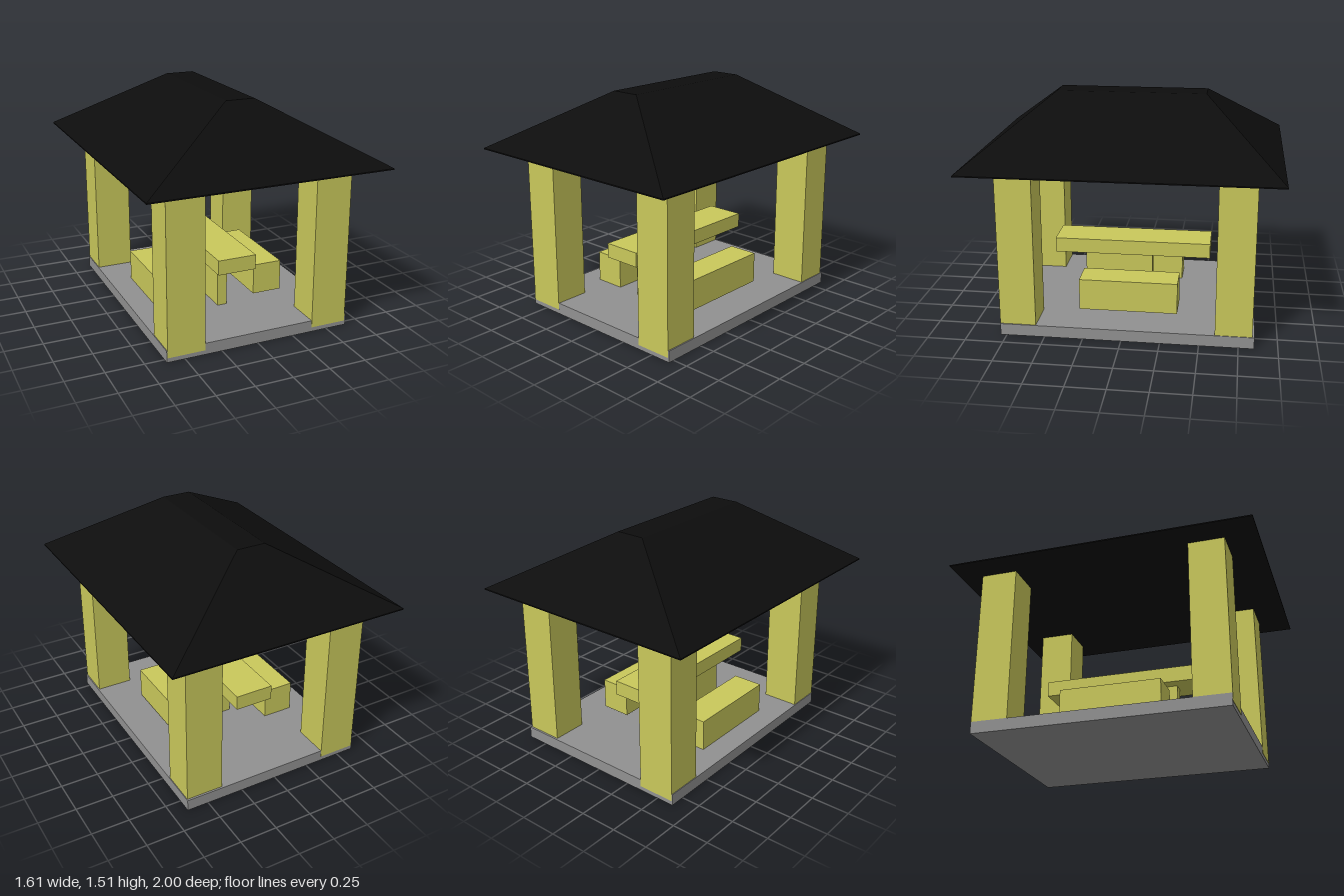
import * as THREE from 'three';

const material = (name, color) => {
  const m = new THREE.MeshStandardMaterial({ color });
  m.name = name;
  return m;
};

// Box given by its lower and upper limits on each axis
function block(name, mat, [x0, x1], [y0, y1], [z0, z1]) {
  const mesh = new THREE.Mesh(new THREE.BoxGeometry(x1 - x0, y1 - y0, z1 - z0), mat);
  mesh.position.set((x0 + x1) / 2, (y0 + y1) / 2, (z0 + z1) / 2);
  mesh.name = name;
  return mesh;
}

// Hipped roof: a box whose top face is drawn in to a short flat ridge
function hippedRoof(mat, width, depth, y0, y1, ridgeWidth, ridgeDepth) {
  const box = new THREE.BoxGeometry(width, y1 - y0, depth).toNonIndexed();
  const p = box.attributes.position;
  for (let i = 0; i < p.count; i++) {
    if (p.getY(i) > 0) {
      p.setX(i, Math.sign(p.getX(i)) * ridgeWidth / 2);
      p.setZ(i, Math.sign(p.getZ(i)) * ridgeDepth / 2);
    }
  }
  box.computeVertexNormals();
  const mesh = new THREE.Mesh(box, mat);
  mesh.position.y = (y0 + y1) / 2;
  mesh.name = 'hippedRoof';
  return mesh;
}

export function createModel() {
  const wood = material('yellow wood', 0xc9c85b);
  const stone = material('grey stone', 0x919191);
  const tile = material('black roofing', 0x0d0d0d);

  const model = new THREE.Group();
  model.name = 'gazebo';

  // Floor
  model.add(block('floorSlab', stone, [-0.62, 0.645], [0, 0.077], [-0.85, 0.79]));

  // Corner posts, sunk slightly into the floor
  const posts = [
    ['frontRightPost', [-0.615, -0.365], [0.557, 0.792]],
    ['frontLeftPost', [0.39, 0.637], [0.557, 0.792]],
    ['backRightPost', [-0.615, -0.365], [-0.852, -0.61]],
    ['backLeftPost', [0.393, 0.64], [-0.837, -0.6]],
  ];
  for (const [name, x, z] of posts) model.add(block(name, wood, x, [0.03, 1.115], z));

  // Table
  const table = new THREE.Group();
  table.name = 'table';
  table.add(
    block('tableTop', wood, [-0.155, 0.11], [0.387, 0.487], [-0.54, 0.525]),
    block('tableLeg', wood, [-0.075, -0.007], [0.07, 0.39], [-0.135, 0.333]),
  );
  model.add(table);

  // Benches on either side of the table
  model.add(block('rightBench', wood, [-0.46, -0.25], [0.07, 0.288], [-0.33, 0.327]));
  model.add(block('leftBench', wood, [0.205, 0.41], [0.102, 0.313], [-0.343, 0.31]));

  // Roof with a thin eave
  const roof = new THREE.Group();
  roof.name = 'roof';
  roof.add(block('eave', tile, [-0.803, 0.803], [1.11, 1.118], [-1, 1]));
  roof.add(hippedRoof(tile, 1.606, 2, 1.118, 1.515, 0.195, 0.98));
  model.add(roof);

  return model;
}
